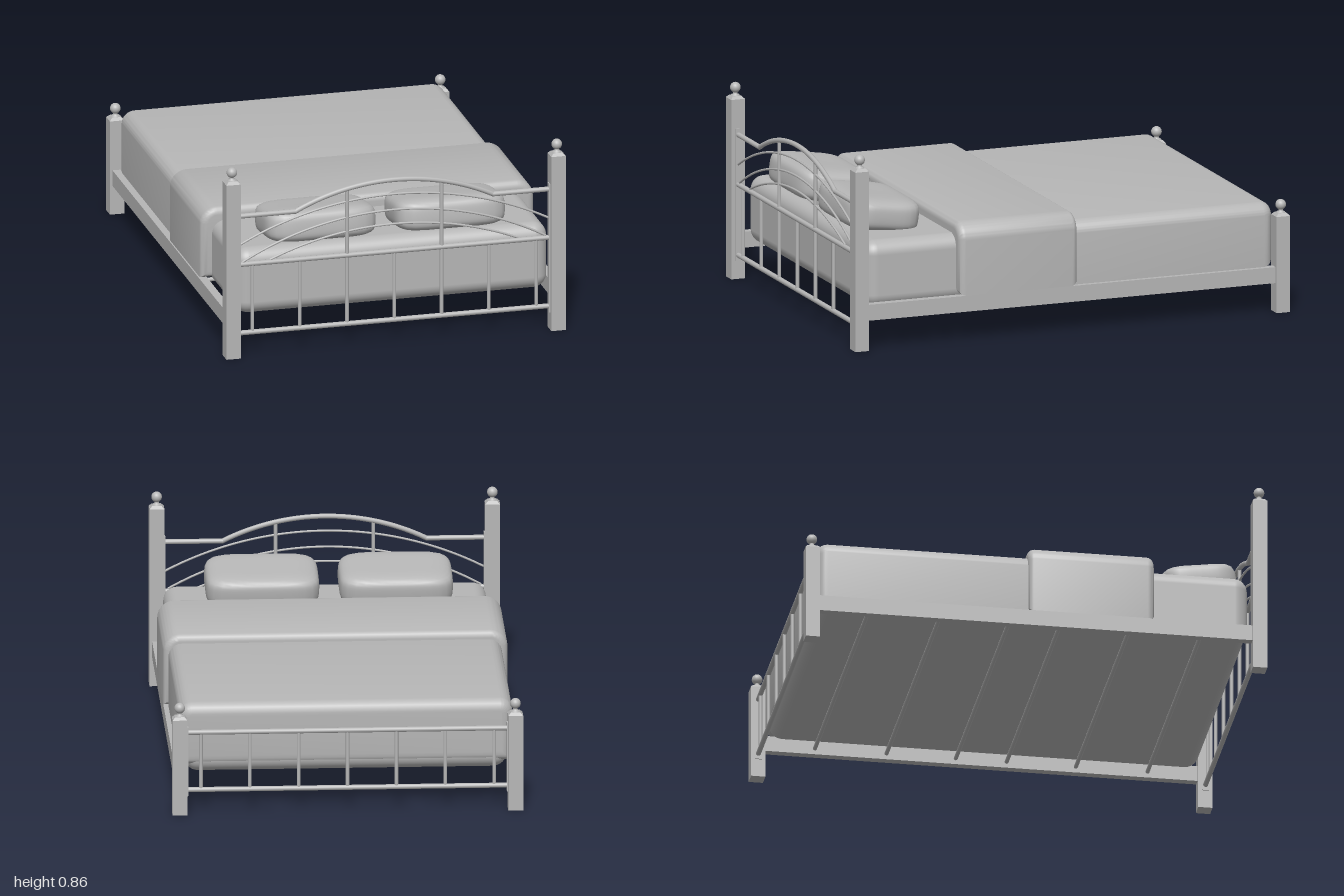
import * as THREE from 'three';
import { RoundedBoxGeometry } from 'three/addons/geometries/RoundedBoxGeometry.js';
import { mergeVertices, toCreasedNormals } from 'three/addons/utils/BufferGeometryUtils.js';

const grey = new THREE.MeshStandardMaterial({ color: 0xb6b6b6 });
grey.name = 'plain grey';

function add(parent, name, geometry, x = 0, y = 0, z = 0) {
  const mesh = new THREE.Mesh(geometry, grey);
  mesh.name = name;
  mesh.position.set(x, y, z);
  parent.add(mesh);
  return mesh;
}

// Straight round bar between two points
function bar(parent, name, a, b, r) {
  const p = new THREE.Vector3(...a), q = new THREE.Vector3(...b);
  const dir = q.clone().sub(p);
  const mesh = add(parent, name, new THREE.CylinderGeometry(r, r, dir.length(), 12));
  mesh.position.copy(p).add(q).multiplyScalar(0.5);
  mesh.quaternion.setFromUnitVectors(new THREE.Vector3(0, 1, 0), dir.normalize());
}

// Symmetric circular arc through two ends and a crown
function arch(parent, name, halfWidth, yEnd, yTop, z, r) {
  const h = yTop - yEnd;
  const R = (halfWidth * halfWidth + h * h) / (2 * h);
  const pts = [];
  for (let i = 0; i <= 24; i++) {
    const x = halfWidth * (i / 12 - 1);
    pts.push(new THREE.Vector3(x, yTop - R + Math.sqrt(R * R - x * x), z));
  }
  add(parent, name, new THREE.TubeGeometry(new THREE.CatmullRomCurve3(pts), 48, r, 8));
}

// Square post with a chamfered cap and a turned ball finial
function post(parent, x, z, height) {
  const g = new THREE.Group();
  g.name = 'post';
  g.position.set(x, 0, z);
  parent.add(g);
  add(g, 'postShaft', new THREE.BoxGeometry(0.064, height, 0.062), 0, height / 2, 0);
  const cap = new THREE.CylinderGeometry(0.028, 0.0445, 0.012, 4, 1).toNonIndexed();
  cap.rotateY(Math.PI / 4);
  cap.computeVertexNormals();
  add(g, 'postCap', cap, 0, height + 0.006, 0);
  const profile = [[0.02, 0.01], [0.018, 0.016], [0.01, 0.019], [0.01, 0.026]];
  for (let i = 0; i <= 10; i++) {
    const t = -1.1 + (i / 10) * (Math.PI / 2 + 1.1);
    profile.push([Math.max(0, 0.023 * Math.cos(t)), 0.047 + 0.023 * Math.sin(t)]);
  }
  add(g, 'finial', new THREE.LatheGeometry(profile.map(p => new THREE.Vector2(...p)), 20), 0, height, 0);
}

// Rails, upright bars and mounting strips shared by both ends of the bed
function endFrame(parent, z, topRail, stripTop) {
  bar(parent, 'upperRail', [-0.69, topRail, z], [0.69, topRail, z], 0.011);
  bar(parent, 'lowerRail', [-0.69, 0.105, z], [0.69, 0.105, z], 0.011);
  for (let i = -3; i <= 3; i++) {
    bar(parent, 'upright', [i * 0.209, 0.105, z], [i * 0.209, topRail, z], 0.008);
  }
  for (const s of [-1, 1]) {
    add(parent, 'mountingStrip', new THREE.BoxGeometry(0.008, stripTop - 0.08, 0.03), s * 0.685, (stripTop + 0.08) / 2, z);
  }
}

// Bedding cover: arched cross-section swept along z with soft edges
function cover(parent, name, x0, x1, y0, y1, z0, z1, r, bevel) {
  const a = x0 + bevel, b = x1 - bevel, c = y0 + bevel, d = y1 - bevel;
  const s = new THREE.Shape();
  s.moveTo(a, c);
  s.lineTo(b, c);
  s.lineTo(b, d - r);
  s.absarc(b - r, d - r, r, 0, Math.PI / 2, false);
  s.lineTo(a + r, d);
  s.absarc(a + r, d - r, r, Math.PI / 2, Math.PI, false);
  s.closePath();
  let g = new THREE.ExtrudeGeometry(s, {
    depth: z1 - z0 - 2 * bevel, bevelEnabled: true, bevelSize: bevel,
    bevelThickness: bevel, bevelSegments: 5, curveSegments: 8,
  });
  g.deleteAttribute('uv');
  g.deleteAttribute('normal');
  g = toCreasedNormals(mergeVertices(g, 1e-4), 0.7);
  add(parent, name, g, 0, 0, z0 + bevel);
}

// Plump pillow: a sphere squared off towards a cushion
function pillowGeometry(w, h, d) {
  const g = new THREE.SphereGeometry(1, 48, 32);
  const p = g.attributes.position;
  const v = new THREE.Vector3();
  for (let i = 0; i < p.count; i++) {
    v.fromBufferAttribute(p, i);
    const flat = Math.pow(Math.abs(v.x) ** 5 + Math.abs(v.z) ** 5 + Math.abs(v.y) ** 5, -1 / 5);
    const k = flat * (1 - 0.05 * v.y * v.y);
    p.setXYZ(i, v.x * k * w / 2, v.y * k * h / 2, v.z * k * d / 2);
  }
  g.computeVertexNormals();
  return g;
}

export function createModel() {
  const bed = new THREE.Group();
  bed.name = 'bed';
  const headZ = 0.968, footZ = -0.968;

  // Posts and side rails
  for (const s of [-1, 1]) {
    post(bed, s * 0.718, headZ, 0.788);
    post(bed, s * 0.718, footZ, 0.422);
    add(bed, 'sideRail', new THREE.BoxGeometry(0.036, 0.07, 1.9), s * 0.721, 0.165, 0);
  }

  // Headboard
  const head = new THREE.Group();
  head.name = 'headboard';
  bed.add(head);
  endFrame(head, headZ, 0.415, 0.66);
  for (const s of [-1, 1]) {
    bar(head, 'shoulderBar', [s * 0.69, 0.634, headZ], [s * 0.435, 0.634, headZ], 0.011);
    bar(head, 'archSupport', [s * 0.209, 0.415, headZ], [s * 0.209, 0.71, headZ], 0.008);
  }
  arch(head, 'mainArch', 0.44, 0.632, 0.738, headZ, 0.011);
  arch(head, 'upperThinArch', 0.69, 0.5, 0.673, headZ, 0.005);
  arch(head, 'middleThinArch', 0.67, 0.425, 0.602, headZ, 0.005);
  arch(head, 'lowerThinArch', 0.55, 0.425, 0.538, headZ, 0.005);

  // Footboard
  const foot = new THREE.Group();
  foot.name = 'footboard';
  bed.add(foot);
  endFrame(foot, footZ, 0.36, 0.385);

  // Cross rods under the mattress
  for (const z of [-0.72, -0.41, -0.11, 0.11, 0.41, 0.72]) {
    bar(bed, 'crossRod', [-0.71, 0.157, z], [0.71, 0.157, z], 0.009);
  }

  // Mattress and bedding
  add(bed, 'mattress', new RoundedBoxGeometry(1.38, 0.295, 1.86, 5, 0.06), 0.005, 0.3125, 0);
  cover(bed, 'blanket', -0.708, 0.718, 0.2, 0.476, -0.938, 0.03, 0.012, 0.045);
  cover(bed, 'foldedBlanket', -0.733, 0.74, 0.2, 0.515, -0.03, 0.515, 0.045, 0.03);

  // Pillows leaning on the headboard
  for (const x of [-0.292, 0.28]) {
    const pillow = add(bed, 'pillow', pillowGeometry(0.488, 0.15, 0.335), x, 0.517, 0.752);
    pillow.rotation.x = -0.14;
  }
  return bed;
}
